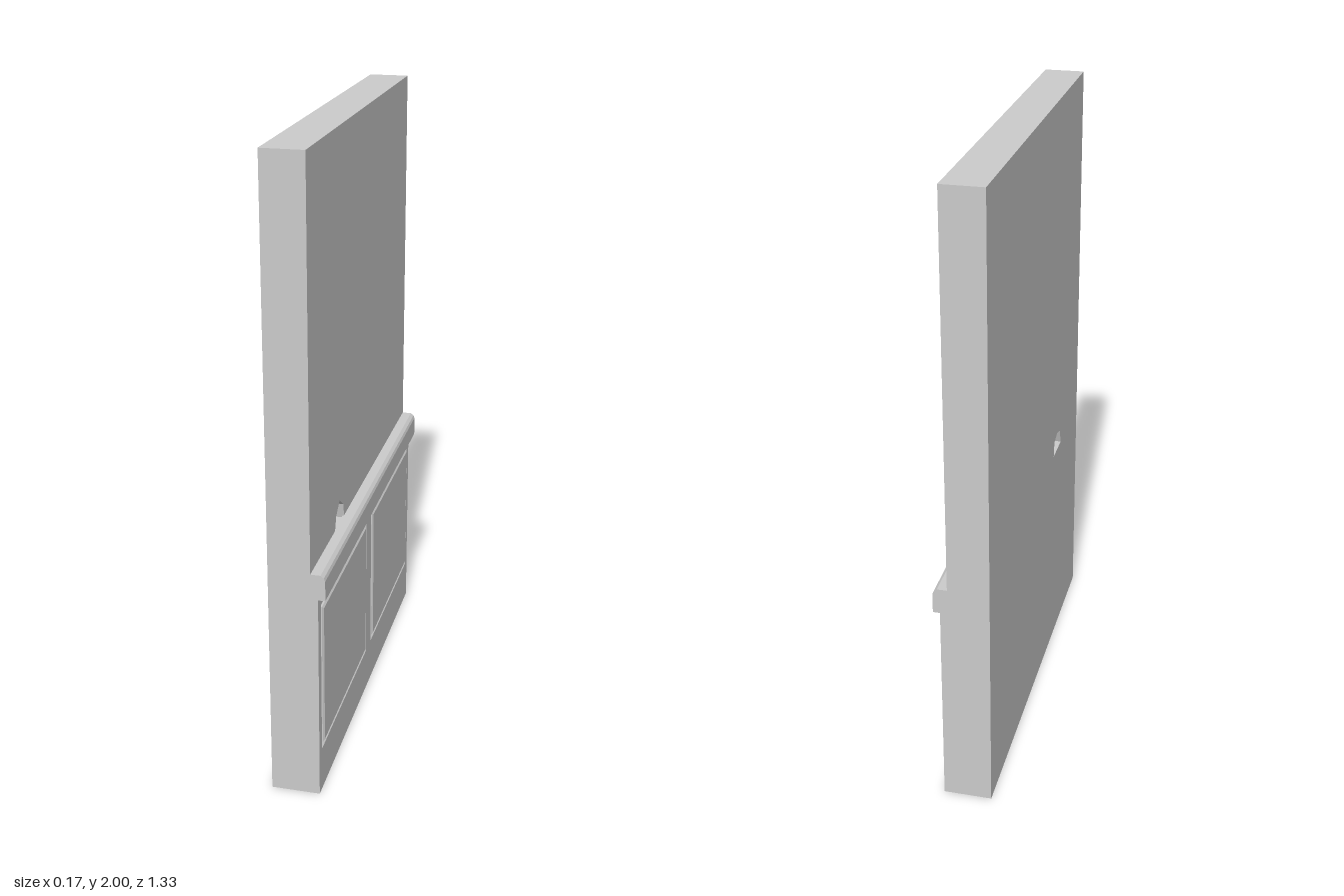
import * as THREE from 'three';

const HALF = 0.666;                               // half the wall's length along z
const BACK = -0.088, FACE = 0.042, WAINSCOT = 0.065;
const PANELS = [-0.335, 0.335];                   // panel centres along z
const PANEL_Y = 0.395;

const material = new THREE.MeshStandardMaterial({ color: 0xcccccc, flatShading: true });

function addMesh(parent, geometry, name) {
  const mesh = new THREE.Mesh(geometry, material);
  mesh.name = name;
  parent.add(mesh);
  return mesh;
}

function rectangle(Type, cx, cy, hw, hh) {
  return new Type([[-1, -1], [1, -1], [1, 1], [-1, 1]]
    .map(([a, b]) => new THREE.Vector2(cx + a * hw, cy + b * hh)));
}

// Extrude an outline drawn in (-z, y) along +x
function slab(shape, x0, x1) {
  return new THREE.ExtrudeGeometry(shape, { depth: x1 - x0, bevelEnabled: false })
    .rotateY(Math.PI / 2).translate(x0, 0, 0);
}

// Panel facing +x: nested rectangles [half width, half height, x], closed by a flat field
function panelGeometry(loops) {
  const positions = [], index = [];
  for (const [w, h, x] of loops) {
    positions.push(x, -h, w, x, -h, -w, x, h, -w, x, h, w);
  }
  for (let i = 0; i < loops.length - 1; i++) {
    for (let j = 0; j < 4; j++) {
      const a = i * 4 + j, b = i * 4 + (j + 1) % 4;
      index.push(a, b, b + 4, a, b + 4, a + 4);
    }
  }
  const k = (loops.length - 1) * 4;
  index.push(k, k + 1, k + 2, k, k + 2, k + 3);
  const geometry = new THREE.BufferGeometry();
  geometry.setAttribute('position', new THREE.Float32BufferAttribute(positions, 3));
  geometry.setIndex(index);
  const flat = geometry.toNonIndexed();
  flat.computeVertexNormals();
  return flat;
}

export function createModel() {
  const group = new THREE.Group();
  group.name = 'wallSection';

  // Wall with a small arched hole passing through it
  const wallShape = rectangle(THREE.Shape, 0, 1, HALF, 1);
  wallShape.holes.push(new THREE.Path([
    [-0.372, 0.752], [-0.355, 0.803], [-0.311, 0.838], [-0.262, 0.803], [-0.252, 0.752],
  ].map(([x, y]) => new THREE.Vector2(x, y))));
  const wall = slab(wallShape, BACK, FACE);
  // The hole's ceiling drops towards the back
  const p = wall.attributes.position;
  for (let i = 0; i < p.count; i++) {
    if (p.getX(i) < 0 && Math.abs(p.getY(i) - 0.838) < 0.001) p.setY(i, 0.818);
  }
  wall.computeVertexNormals();
  addMesh(group, wall, 'wall');

  // Wainscot board with two openings for the panels
  const board = rectangle(THREE.Shape, 0, 0.345, HALF, 0.345);
  for (const z of PANELS) board.holes.push(rectangle(THREE.Path, -z, PANEL_Y, 0.3, 0.251));
  addMesh(group, slab(board, FACE, WAINSCOT), 'wainscotBoard');

  // Raised panels, each within a grooved border
  const panel = panelGeometry([
    [0.3, 0.251, WAINSCOT], [0.291, 0.242, 0.056], [0.287, 0.238, 0.056],
    [0.285, 0.236, 0.064], [0.278, 0.229, 0.069],
  ]);
  for (const z of PANELS) {
    addMesh(group, panel, z > 0 ? 'panelFront' : 'panelBack').position.set(0, PANEL_Y, z);
  }

  // Chair rail with a rounded top edge
  const rail = new THREE.Shape([
    [FACE - 0.004, 0.678], [0.087, 0.678], [0.087, 0.742], [0.083, 0.752], [0.073, 0.76], [FACE - 0.004, 0.76],
  ].map(([x, y]) => new THREE.Vector2(x, y)));
  const railGeometry = new THREE.ExtrudeGeometry(rail, { depth: HALF * 2, bevelEnabled: false });
  addMesh(group, railGeometry.translate(0, 0, -HALF), 'chairRail');

  return group;
}
